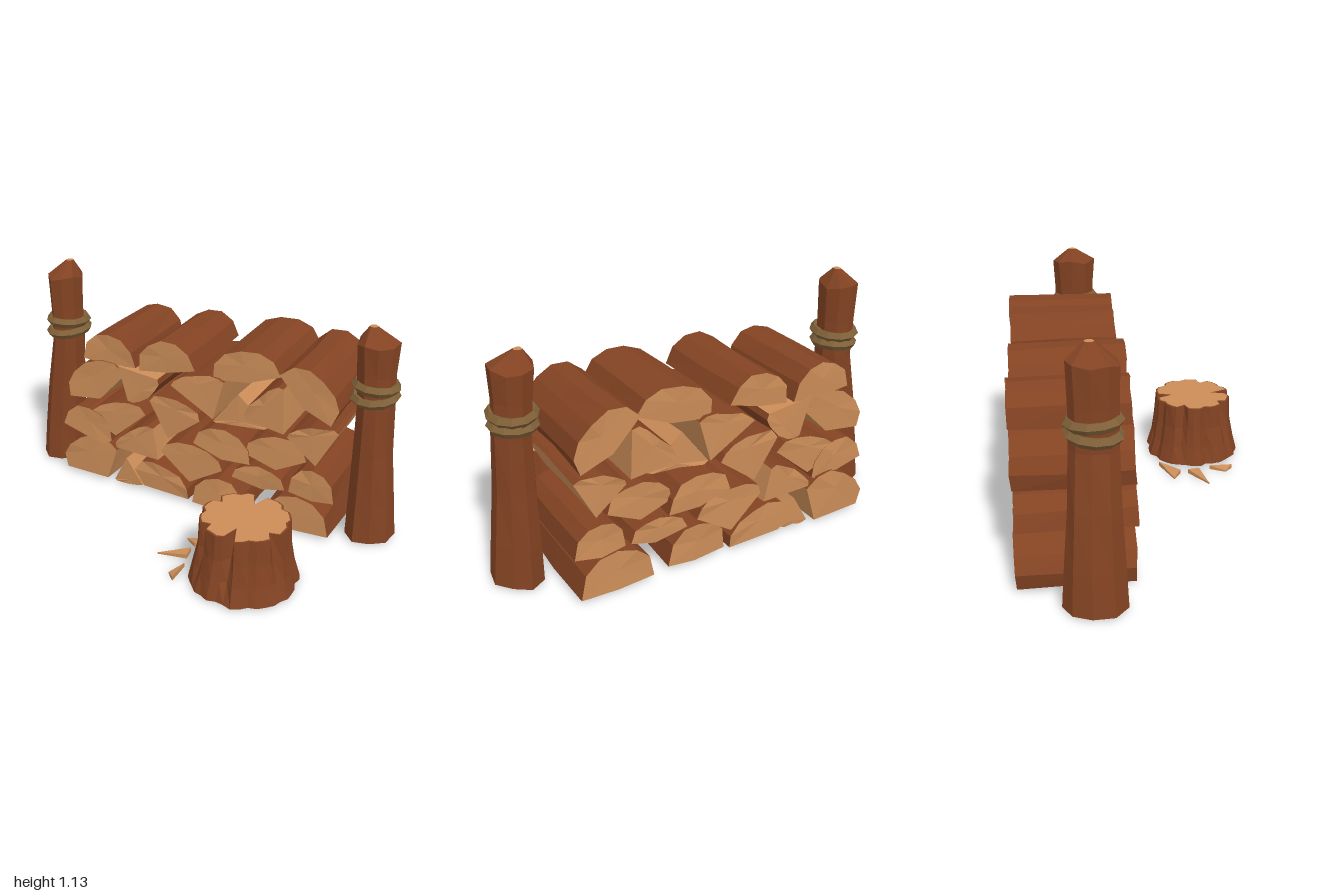
import * as THREE from 'three';

const bark = new THREE.MeshStandardMaterial({ color: 0x834323 });
bark.name = 'bark brown';
const wood = new THREE.MeshStandardMaterial({ color: 0xcb8d58 });
wood.name = 'cut wood';
const ropeMat = new THREE.MeshStandardMaterial({ color: 0x7f6038 });
ropeMat.name = 'rope tan';

// Small seeded generator; wobble(a) gives a value from -a to a
let seed = 7;
function wobble(a) {
  seed = (seed * 16807) % 2147483647;
  return (seed / 2147483647 * 2 - 1) * a;
}

function centre(ring) {
  const c = new THREE.Vector3();
  ring.forEach((p) => c.add(p));
  return c.divideScalar(ring.length);
}

// Faceted skin over rings (counter-clockwise seen from the first ring's end).
// isWood(i) picks side colour; startWood and endWood pick the cap colours.
function loft(name, rings, isWood, startWood, endWood) {
  const tris = [[], []];
  const add = (w, ...pts) => pts.forEach((p) => tris[w ? 1 : 0].push(p.x, p.y, p.z));
  const n = rings[0].length;
  const first = rings[0], last = rings[rings.length - 1];
  const c0 = centre(first), c1 = centre(last);
  for (let i = 0; i < n; i++) {
    const j = (i + 1) % n;
    for (let k = 0; k < rings.length - 1; k++) {
      const a = rings[k], b = rings[k + 1];
      add(isWood(i), a[i], b[i], b[j]);
      add(isWood(i), a[i], b[j], a[j]);
    }
    add(startWood, c0, first[i], first[j]);
    add(endWood, c1, last[j], last[i]);
  }
  const g = new THREE.BufferGeometry();
  g.setAttribute('position', new THREE.Float32BufferAttribute([...tris[0], ...tris[1]], 3));
  g.addGroup(0, tris[0].length / 3, 0);
  g.addGroup(tris[0].length / 3, tris[1].length / 3, 1);
  g.computeVertexNormals();
  const mesh = new THREE.Mesh(g, [bark, wood]);
  mesh.name = name;
  return mesh;
}

// Split log: bark arc from A to B with a bulge, split faces meeting at C (hundredths)
function splitLog([ax, ay, bx, by, cx, cy, bulge]) {
  const steps = 6;
  const len = Math.hypot(bx - ax, by - ay);
  const nx = -(by - ay) / len, ny = (bx - ax) / len;
  const outline = [[cx, cy]];
  for (let i = 0; i <= steps; i++) {
    const a = Math.PI * i / steps;
    const t = 0.5 + 0.5 * Math.cos(a);
    const h = bulge * Math.pow(Math.sin(a), 0.85) + (i > 0 && i < steps ? wobble(0.5) : 0);
    outline.push([ax + (bx - ax) * t + nx * h, ay + (by - ay) * t + ny * h]);
  }
  const front = -0.075 + wobble(0.012), back = -0.58 + wobble(0.02);
  const mx = (ax + bx + cx) / 3, my = (ay + by + cy) / 3;
  const rings = [0, 0.45, 1].map((t) => {
    const s = 1 + (t ? wobble(0.04) : 0);
    return outline.map(([x, y]) => new THREE.Vector3(
      (mx + (x - mx) * s + (t ? wobble(0.5) : 0)) / 100,
      Math.max(0.01, (my + (y - my) * s + (t ? wobble(0.5) : 0)) / 100),
      front + (back - front) * t + wobble(0.006)));
  });
  return loft('splitLog', rings, (i) => i === 0 || i === steps + 1, true, true);
}

const row1 = [
  [-76, 2, -44, 20, -50, 2, 13], [-29, 3, -46, 2, -38, 17, 1],
  [-33, 12, -2, 2, -28, 3, 11], [1, 2, 30, 3, 17, 1, 17], [39, 2, 73, 2, 56, 1, 18],
];
const row2 = [
  [-76, 29, -47, 25, -53, 22, 15], [-59, 36, -26, 45, -44, 29, 8],
  [-44, 22, -22, 38, -19, 21, 4], [-17, 27, 17, 24, -1, 13, 9],
  [22, 22, 50, 22, 38, 19, 9], [52, 22, 75, 22, 64, 20, 15],
];
const row3 = [
  [-71, 46, -38, 64, -53, 48, 13], [-19, 66, -36, 51, -41, 69, 5],
  [-24, 53, 4, 48, -14, 34, 6], [1, 36, 32, 32, 17, 31, 13],
  [29, 37, 60, 40, 45, 32, 11], [50, 51, 75, 59, 65, 40, 4],
];
const row4 = [
  [-11, 65, 17, 72, 12, 52, 4], [40, 53, 11, 50, 24, 67, 1], [28, 55, 47, 75, 48, 52, 4],
];
const row5 = [
  [-62, 69, -32, 69, -47, 68, 15], [-29, 69, 2, 75, -13, 71, 15],
  [11, 72, 45, 80, 29, 74, 14], [45, 82, 71, 62, 57, 68, 14],
];

// Horizontal ring, counter-clockwise from above
function flatRing(x, y, z, rx, rz, radii) {
  return radii.map((r, i) => {
    const a = i / radii.length * Math.PI * 2 + 0.2;
    return new THREE.Vector3(x + Math.cos(a) * rx * r, y, z - Math.sin(a) * rz * r);
  });
}

// Post from levels of [x, y, z, rx, rz], top first
function post(name, levels) {
  const radii = Array.from({ length: 9 }, (_, i) => (i % 3 === 1 ? 0.93 : 1.02) + wobble(0.03));
  const rings = levels.map(([x, y, z, rx, rz]) => {
    const ring = flatRing(x, y, z, rx, rz, radii.map((r) => r + wobble(0.03)));
    if (y > 0.9 && rx > 0.05) ring.forEach((p) => { p.y += wobble(0.015); });
    return ring;
  });
  return loft(name, rings, () => false, true, false);
}

// Two faceted rope coils around a post
function rope(name, x, y, z) {
  const group = new THREE.Group();
  group.name = name;
  [0.027, -0.027].forEach((dy, k) => {
    const g = new THREE.TorusGeometry(0.092, 0.025, 5, 11).toNonIndexed();
    g.computeVertexNormals();
    const coil = new THREE.Mesh(g, ropeMat);
    coil.name = 'ropeCoil';
    coil.rotation.set(Math.PI / 2 + (k ? 0.06 : -0.05), k ? 0.05 : -0.04, k * 0.3);
    coil.position.set(x, y + dy, z);
    coil.scale.set(0.96, 1.06, 1);
    group.add(coil);
  });
  return group;
}

// Flared stump with bark ridges and a few deep cracks
function stump() {
  const n = 40;
  const cracks = { 9: 0.55, 16: 0.8, 24: 0.82, 29: 0.5, 36: 0.8 };
  const ridge = Array.from({ length: n }, (_, i) => (i % 4 === 0 ? 0.93 : 1) + wobble(0.02));
  const levels = [[0.32, 0.2, 1], [0.2, 0.208, 0.6], [0.1, 0.225, 0.3], [0.01, 0.248, 0.1]];
  const rings = levels.map(([y, r, depth]) => flatRing(0.49, y, 0.365, r, r,
    ridge.map((v, i) => (cracks[i] ? 1 - (1 - cracks[i]) * depth : v) + (y < 0.3 ? wobble(0.015) : 0))));
  const group = new THREE.Group();
  group.name = 'stump';
  group.add(loft('stumpTrunk', rings, () => false, false, true));
  // Cut face, slightly inside the bark rim
  const inner = (y) => rings[0].map((p) => new THREE.Vector3(
    0.49 + (p.x - 0.49) * 0.955, y, 0.365 + (p.z - 0.365) * 0.955));
  group.add(loft('stumpCutFace', [inner(0.323), inner(0.318)], () => true, true, true));
  return group;
}

// Thin triangular chip lying on the ground, corners given as x, z
function chip(corners) {
  const ring = (y) => corners.map(([x, z]) => new THREE.Vector3(x, y, z));
  const top = ring(0.022);
  top[0].y = 0.008;
  return loft('woodChip', [top, ring(0)], () => true, true, true);
}

export function createModel() {
  seed = 7;
  const model = new THREE.Group();
  model.name = 'woodpile';

  const stack = new THREE.Group();
  stack.name = 'logStack';
  [row1, row2, row3, row4, row5].forEach((row) => row.forEach((l) => stack.add(splitLog(l))));
  model.add(stack);

  model.add(post('rightPost', [
    [-0.80, 1.13, -0.26, 0.018, 0.02], [-0.82, 1.05, -0.25, 0.083, 0.105],
    [-0.82, 0.88, -0.25, 0.078, 0.098], [-0.82, 0.7, -0.25, 0.078, 0.1],
    [-0.85, 0.45, -0.255, 0.095, 0.11], [-0.875, 0.2, -0.26, 0.105, 0.125],
    [-0.887, 0.01, -0.26, 0.113, 0.138]]));
  model.add(post('leftPost', [
    [0.81, 1.06, -0.25, 0.018, 0.02], [0.84, 0.99, -0.24, 0.093, 0.11],
    [0.845, 0.85, -0.24, 0.085, 0.1], [0.855, 0.7, -0.24, 0.082, 0.102],
    [0.862, 0.45, -0.245, 0.092, 0.11], [0.872, 0.2, -0.25, 0.105, 0.125],
    [0.88, 0.01, -0.25, 0.118, 0.14]]));
  model.add(rope('rightRope', -0.82, 0.787, -0.25));
  model.add(rope('leftRope', 0.85, 0.762, -0.24));

  model.add(stump());
  model.add(chip([[0.13, 0.22], [0.19, 0.26], [0.29, 0.16]]));
  model.add(chip([[0.06, 0.39], [0.2, 0.36], [0.19, 0.3]]));
  model.add(chip([[0.18, 0.5], [0.22, 0.54], [0.22, 0.42]]));
  return model;
}
